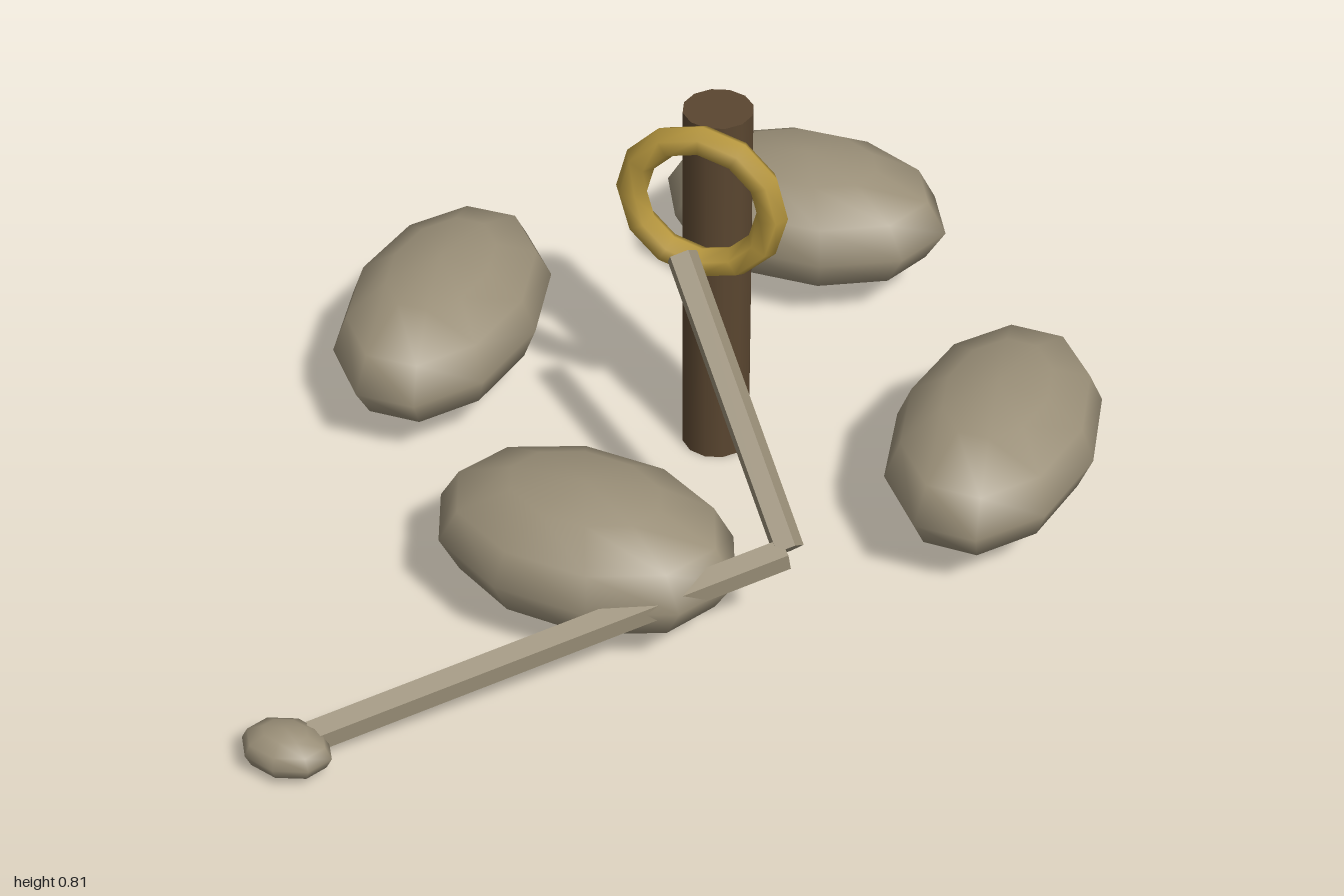
import * as THREE from 'three';

export function createModel() {
  const model = new THREE.Group();
  const paint = (name, color, flatShading = false) => {
    const m = new THREE.MeshStandardMaterial({ color, flatShading });
    m.name = name;
    return m;
  };
  const stone = paint('stone', 0x9a8f78);
  const stoneFlat = paint('limb stone', 0x9a8f78, true);
  const wood = paint('dark wood', 0x5a4630);
  const gold = paint('gold', 0xb8983f);

  const add = (name, geometry, material, x, y, z) => {
    const mesh = new THREE.Mesh(geometry, material);
    mesh.name = name;
    mesh.position.set(x, y, z);
    model.add(mesh);
    return mesh;
  };

  // Upright post and the ring hung on its front
  add('post', new THREE.CylinderGeometry(0.068, 0.068, 0.79, 12), wood, 0, 0.395, -0.22);
  add('ring', new THREE.TorusGeometry(0.14, 0.031, 6, 12), gold, 0, 0.64, -0.125);

  // Four boulders around the post: position, half sizes, turn
  const boulders = [
    ['backBoulder', 0, -0.803, 0.305, 0.207, 0],
    ['rightBoulder', -0.578, -0.213, 0.198, 0.323, 0],
    ['leftBoulder', 0.578, -0.188, 0.198, 0.323, -0.04],
    ['frontBoulder', -0.063, 0.352, 0.306, 0.205, -0.1],
  ];
  for (const [name, x, z, sx, sz, turn] of boulders) {
    const boulder = add(name, new THREE.SphereGeometry(1, 10, 6), stone, x, 0.175, z);
    boulder.scale.set(sx, 0.14, sz);
    boulder.rotation.y = turn;
  }

  // Bent limb made of two straight bars
  const bar = (name, from, to) => {
    const a = new THREE.Vector3(...from);
    const b = new THREE.Vector3(...to);
    const dir = b.clone().sub(a);
    const mid = a.add(b).multiplyScalar(0.5);
    const mesh = add(name, new THREE.CylinderGeometry(0.031, 0.031, dir.length(), 5), stoneFlat, mid.x, mid.y, mid.z);
    mesh.quaternion.setFromUnitVectors(new THREE.Vector3(0, 1, 0), dir.normalize());
  };
  bar('upperLimb', [0, 0.595, -0.01], [0.32, 0.225, 0.315]);
  bar('lowerLimb', [0.315, 0.22, 0.32], [-0.39, 0.06, 0.9]);

  // Rounded end of the limb
  add('limbEnd', new THREE.SphereGeometry(1, 8, 6), stone, -0.422, 0.052, 0.935).scale.set(0.088, 0.048, 0.063);

  return model;
}
